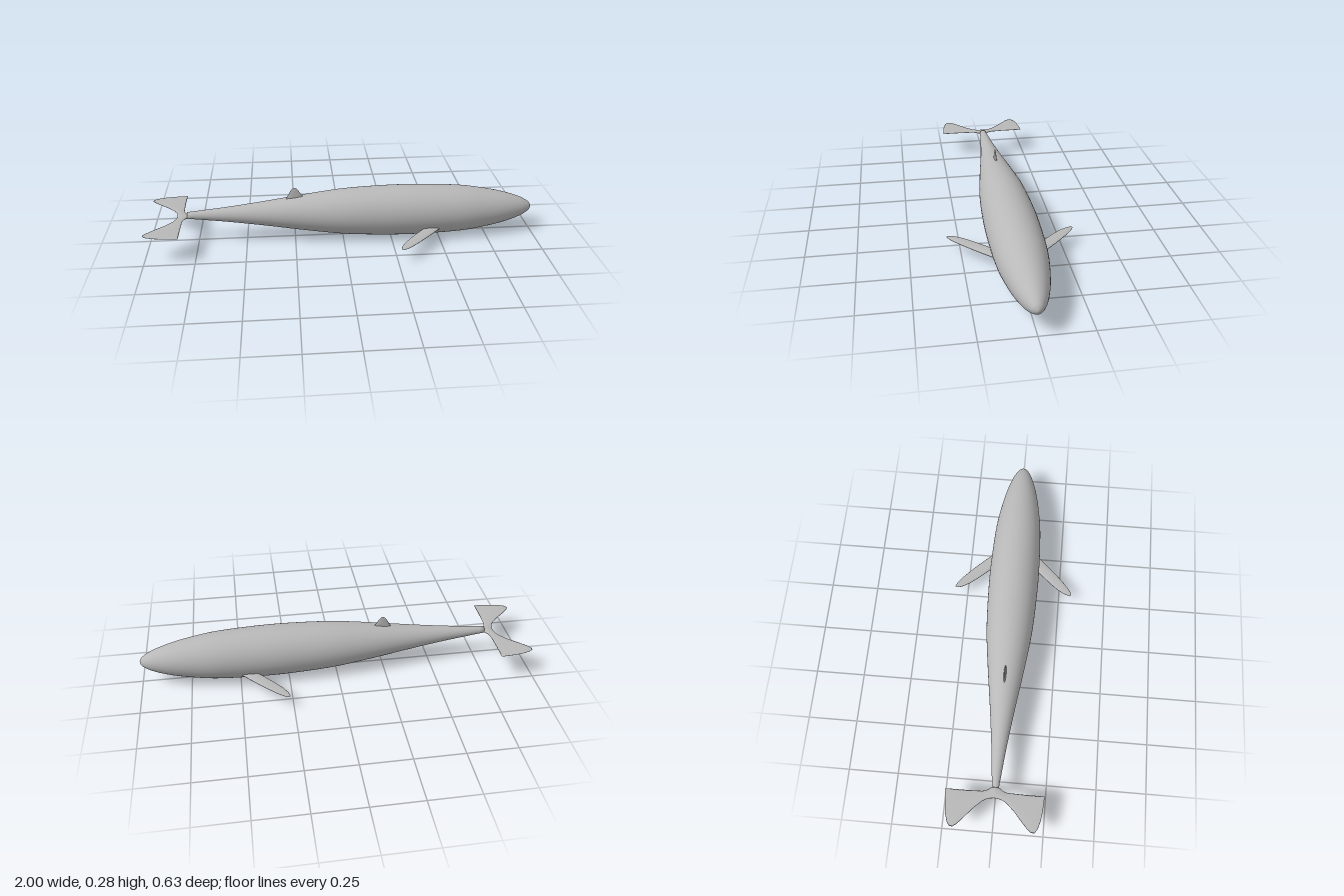
import * as THREE from 'three';

const skin = new THREE.MeshStandardMaterial({ color: 0xb8b8b8 });
skin.name = 'grey skin';

// Lofts lens-shaped sections along +z; each section is [span, front x, back x, half thickness]
function fin(name, sections, sides = 20) {
  const pos = [], index = [];
  sections.forEach(([z, front, back, t], i) => {
    for (let j = 0; j < sides; j++) {
      const a = (j / sides) * Math.PI * 2;
      pos.push((front + back) / 2 + ((front - back) / 2) * Math.cos(a), t * Math.sin(a), z);
      if (i === 0) continue;
      const k = (j + 1) % sides, p = (i - 1) * sides, q = i * sides;
      index.push(p + j, p + k, q + k, p + j, q + k, q + j);
    }
  });
  const geo = new THREE.BufferGeometry();
  geo.setAttribute('position', new THREE.Float32BufferAttribute(pos, 3));
  geo.setIndex(index);
  geo.computeVertexNormals();
  const mesh = new THREE.Mesh(geo, skin);
  mesh.name = name;
  return mesh;
}

// Height of the body's centre line, rising slightly towards the tail
const axis = (x) => 0.135 - 0.011 * x + (x > 0.2 ? 0.001 : 0);

function makeBody() {
  const outline = new THREE.SplineCurve([
    [0.017, -0.8], [0.038, -0.6], [0.064, -0.4], [0.093, -0.2], [0.118, 0], [0.129, 0.2], [0.131, 0.38],
    [0.122, 0.6], [0.105, 0.73], [0.083, 0.84], [0.055, 0.93], [0.029, 0.98], [0.013, 0.995], [0, 1],
  ].map(([r, x]) => new THREE.Vector2(r, x))).getPoints(70);
  outline.forEach((p) => { p.x = Math.max(p.x, 0); });
  const geo = new THREE.LatheGeometry([new THREE.Vector2(0, -0.8), ...outline], 48);
  geo.rotateZ(-Math.PI / 2);
  const p = geo.attributes.position;
  for (let i = 0; i < p.count; i++) p.setY(i, p.getY(i) + 0.135 - 0.01 * p.getX(i));
  const body = new THREE.Mesh(geo, skin);
  body.name = 'body';
  return body;
}

export function createModel() {
  const model = new THREE.Group();
  model.name = 'whale';
  model.add(makeBody());

  // Swept, tapering side flippers
  const flipper = [
    [0.07, 0.53, 0.44, 0.01], [0.11, 0.493, 0.407, 0.009], [0.15, 0.457, 0.37, 0.0075],
    [0.2, 0.41, 0.326, 0.006], [0.24, 0.37, 0.294, 0.005], [0.275, 0.333, 0.274, 0.004],
    [0.295, 0.309, 0.267, 0.003], [0.308, 0.29, 0.266, 0.002], [0.315, 0.274, 0.27, 0],
  ];
  // Tail flukes with a straight front edge and a broad rounded end
  const fluke = [
    [0, -0.785, -0.85, 0.009], [0.02, -0.8, -0.852, 0.007], [0.04, -0.814, -0.858, 0.005],
    [0.06, -0.82, -0.87, 0.004], [0.1, -0.821, -0.907, 0.0035], [0.14, -0.822, -0.953, 0.003],
    [0.17, -0.822, -0.985, 0.003], [0.188, -0.822, -0.998, 0.003], [0.203, -0.822, -0.997, 0.0025],
    [0.217, -0.822, -0.98, 0.002], [0.229, -0.822, -0.94, 0.0015], [0.235, -0.822, -0.9, 0.001],
    [0.239, -0.822, -0.85, 0.0005], [0.24, -0.822, -0.824, 0],
  ];
  for (const [side, turn] of [['left', Math.PI], ['right', 0]]) {
    const f = fin(side + 'Flipper', flipper);
    f.position.y = 0.067;
    const t = fin(side + 'Fluke', fluke);
    t.position.y = 0.138;
    // The fins are symmetric top to bottom, so half a turn makes the opposite one
    f.rotation.x = t.rotation.x = side === 'left' ? turn : 0;
    model.add(f, t);
  }

  // Small dorsal fin, standing upright
  const dorsal = fin('dorsalFin', [
    [0.2, -0.19, -0.302, 0.007], [0.225, -0.203, -0.288, 0.0065], [0.245, -0.218, -0.277, 0.005],
    [0.262, -0.228, -0.268, 0.0035], [0.272, -0.237, -0.26, 0.002], [0.277, -0.246, -0.25, 0],
  ]);
  dorsal.rotation.x = -Math.PI / 2;
  model.add(dorsal);
  return model;
}
